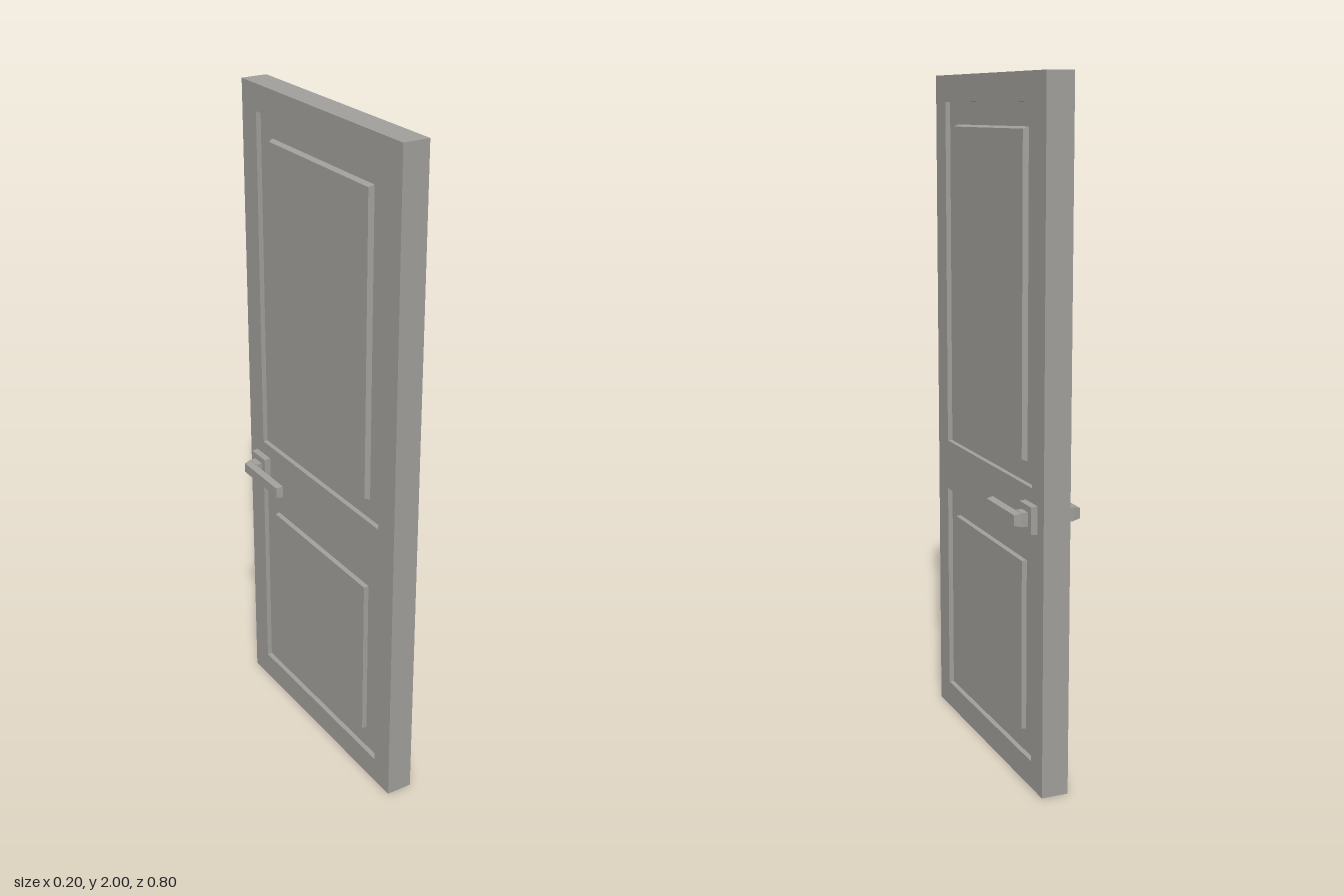
import * as THREE from 'three';

const HALF = 0.04;    // half the door thickness
const RECESS = 0.015; // depth of the panel recesses
const LOCK_Y = 0.803;

// recess and raised field of each panel: half widths, bottoms and tops
const PANELS = [
  { name: 'upper', w: 0.322, y0: 0.885, y1: 1.922, fw: 0.257, f0: 0.945, f1: 1.857, bevel: 0.006 },
  { name: 'lower', w: 0.324, y0: 0.08, y1: 0.73, fw: 0.255, f0: 0.15, f1: 0.658, bevel: 0.001 },
];

// block standing out along x from x0 to x1, its outer face inset on all sides
function block(side, x0, x1, y0, y1, z0, z1, inset = 0) {
  const h = y1 - y0, d = z1 - z0;
  const g = new THREE.BoxGeometry(x1 - x0, h, d);
  const p = g.attributes.position;
  for (let i = 0; i < p.count; i++) {
    if (p.getX(i) > 0) {
      p.setY(i, p.getY(i) * (1 - 2 * inset / h));
      p.setZ(i, p.getZ(i) * (1 - 2 * inset / d));
    }
  }
  g.translate((x0 + x1) / 2, 0, 0);
  if (side < 0) g.rotateZ(Math.PI);
  g.translate(0, (y0 + y1) / 2, (z0 + z1) / 2);
  g.computeVertexNormals();
  return g;
}

function rectangle(target, w, y0, y1) {
  target.moveTo(-w, y0);
  target.lineTo(w, y0);
  target.lineTo(w, y1);
  target.lineTo(-w, y1);
  target.closePath();
  return target;
}

export function createModel() {
  const model = new THREE.Group();
  model.name = 'door';
  const grey = new THREE.MeshStandardMaterial({ color: 0xa19f9b });
  grey.name = 'warm grey';

  const add = (parent, name, geometry) => {
    const mesh = new THREE.Mesh(geometry, grey);
    mesh.name = name;
    parent.add(mesh);
  };

  // stiles and rails in one frame with two openings
  const outline = rectangle(new THREE.Shape(), 0.4, 0, 2);
  for (const p of PANELS) outline.holes.push(rectangle(new THREE.Path(), p.w, p.y0, p.y1));
  const frame = new THREE.ExtrudeGeometry(outline, { depth: 2 * HALF, bevelEnabled: false });
  frame.translate(0, 0, -HALF);
  frame.rotateY(Math.PI / 2);
  add(model, 'frame', frame);

  // recessed panels with a raised field on both faces
  const floor = HALF - RECESS;
  for (const p of PANELS) {
    add(model, p.name + 'Panel', block(1, -floor, floor, p.y0, p.y1, -p.w, p.w));
    for (const side of [1, -1]) {
      add(model, p.name + 'Field', block(side, floor, HALF, p.f0, p.f1, -p.fw, p.fw, p.bevel));
    }
  }

  // a lever handle on each face
  for (const side of [1, -1]) {
    const handle = new THREE.Group();
    handle.name = side > 0 ? 'leftHandle' : 'rightHandle';
    add(handle, 'backplate', block(side, HALF, 0.06, LOCK_Y - 0.04, LOCK_Y + 0.04, -0.36, -0.28, 0.001));
    add(handle, 'neck', block(side, 0.06, 0.08, LOCK_Y - 0.02, LOCK_Y + 0.02, -0.34, -0.30));
    add(handle, 'lever', block(side, 0.08, 0.1, LOCK_Y - 0.019, LOCK_Y + 0.019, -0.34, -0.137, 0.004));
    model.add(handle);
  }
  return model;
}
